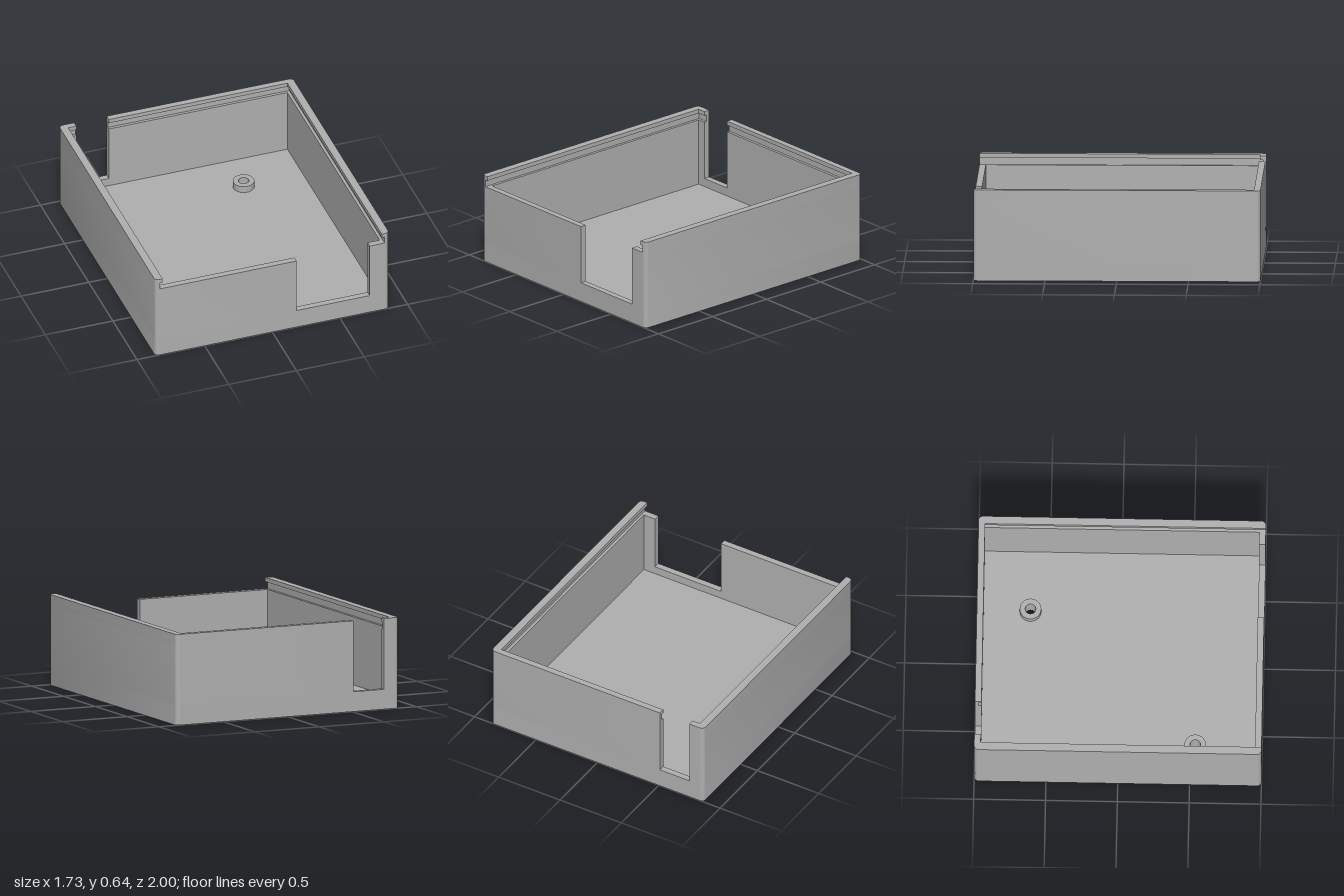
import * as THREE from 'three';
import { toCreasedNormals } from 'three/addons/utils/BufferGeometryUtils.js';

const HX = 0.865, HZ = 1, R = 0.03;      // outer half sizes and corner radius
const IX = 0.81, IZ = 0.955;             // inner half sizes
const FLOOR = 0.08, SILL = 0.14, RAIL = 0.56, LIP = 0.61, TOP = 0.64;
const SCREWS = [[0.37, -0.63], [-0.615, 0.535]];

// Plan shapes use (x, -z), so that an upright extrusion lands in the right place.
function roundedPlan() {
  const s = new THREE.Shape();
  s.absarc(HX - R, HZ - R, R, 0, Math.PI / 2);
  s.absarc(-HX + R, HZ - R, R, Math.PI / 2, Math.PI);
  s.absarc(-HX + R, -HZ + R, R, Math.PI, Math.PI * 1.5);
  s.absarc(HX - R, -HZ + R, R, Math.PI * 1.5, Math.PI * 2);
  s.closePath();
  return s;
}

function circle(x, z, r) {
  return new THREE.Path().absarc(x, -z, r, 0, Math.PI * 2, true);
}

// C-shaped wall plan for one side (+1 or -1), with its front and back ends.
function wallPlan(side, innerX, backZ, frontEnd, backEnd, frontZ) {
  const pts = [[frontEnd, -HZ]];
  for (const [cz, start] of [[-HZ + R, -Math.PI / 2], [HZ - R, 0]]) {
    for (let i = 0; i <= 8; i++) {
      const a = start + (i / 8) * Math.PI / 2;
      pts.push([HX - R + R * Math.cos(a), cz + R * Math.sin(a)]);
    }
  }
  pts.push([backEnd, HZ], [backEnd, backZ], [innerX, backZ]);
  if (frontZ === undefined) return toShape(pts, side);   // open at the front
  pts.push([innerX, -frontZ], [frontEnd, -frontZ]);
  return toShape(pts, side);
}

function toShape(pts, side) {
  return new THREE.Shape(pts.map(([x, y]) => new THREE.Vector2(x * side, y)));
}

export function createModel() {
  const group = new THREE.Group();
  const grey = new THREE.MeshStandardMaterial({ color: 0xb0b0b0 });
  grey.name = 'grey plastic';

  function add(name, shape, y0, y1) {
    let geo = new THREE.ExtrudeGeometry(shape, { depth: y1 - y0, bevelEnabled: false, curveSegments: 24 });
    geo.rotateX(-Math.PI / 2).translate(0, y0, 0);
    geo = toCreasedNormals(geo, 0.6);
    const mesh = new THREE.Mesh(geo, grey);
    mesh.name = name;
    group.add(mesh);
  }

  // Floor with two screw holes
  const floor = roundedPlan();
  for (const [x, z] of SCREWS) floor.holes.push(circle(x, z, 0.037));
  add('floor', floor, 0, FLOOR);

  // Low closed rim below the two cut-outs
  const rim = roundedPlan();
  rim.holes.push(new THREE.Path([[-IX, -IZ], [-IX, IZ], [IX, IZ], [IX, -IZ]]
    .map(([x, y]) => new THREE.Vector2(x, y))));
  add('lowerRim', rim, FLOOR, SILL);

  // Low screw bosses
  for (const [x, z] of SCREWS) {
    const boss = new THREE.Shape().absarc(x, -z, 0.075, 0, Math.PI * 2, false);
    boss.holes.push(circle(x, z, 0.037));
    add('screwBoss', boss, FLOOR, 0.13);
  }

  // Two wall halves, separated by the front and back cut-outs
  for (const { side, name, front, back } of [
    { side: 1, name: 'left', front: 0.72, back: -0.51 },
    { side: -1, name: 'right', front: -0.18, back: 0.75 },
  ]) {
    add(name + 'Wall', wallPlan(side, IX, IZ, front, back, IZ), SILL, RAIL);
    // Groove for a sliding lid, open at the front, and the lip above it
    add(name + 'Groove', wallPlan(side, 0.83, 0.975, 0.83, back), RAIL, LIP);
    add(name + 'Lip', wallPlan(side, IX, IZ, IX, back), LIP, TOP);
  }
  return group;
}
